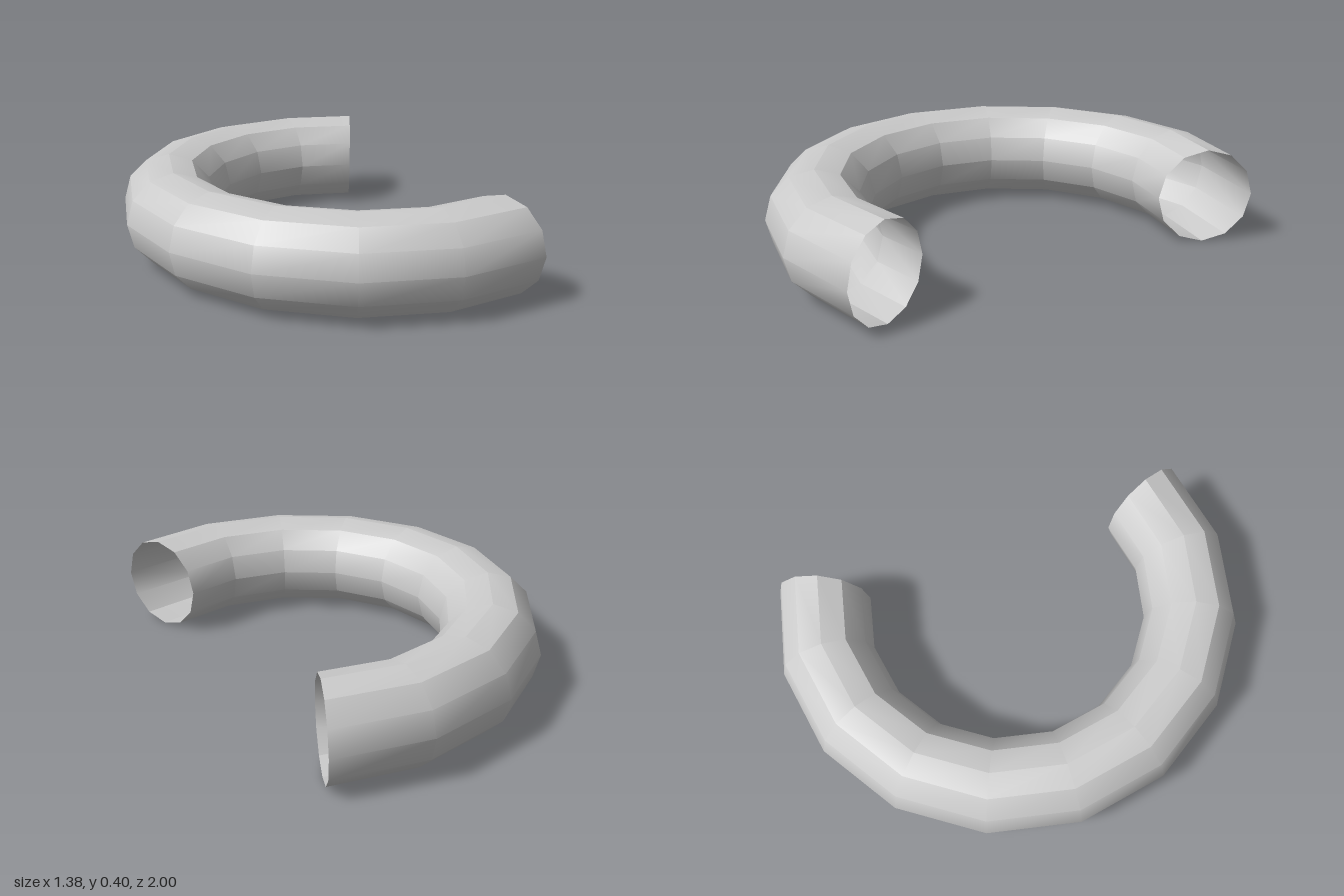
import * as THREE from 'three';
import { toCreasedNormals } from 'three/addons/utils/BufferGeometryUtils.js';

export function createModel() {
  const group = new THREE.Group();
  const ringRadius = 0.8, tubeRadius = 0.2;
  const step = Math.PI / 8, start = 3 * step, segments = 10;

  // Open, hollow C-shaped tube: ten sixteenths of a ring, 12-sided section
  const torus = new THREE.TorusGeometry(ringRadius, tubeRadius, 12, segments, segments * step);
  torus.rotateZ(start).rotateX(Math.PI / 2);

  // Lay on the ground and centre between the back of the bend and the open ends
  const outer = ringRadius + tubeRadius;
  torus.translate((outer - outer * Math.cos(start)) / 2, tubeRadius, 0);

  const material = new THREE.MeshStandardMaterial({ color: 0xcccccc, side: THREE.DoubleSide });
  const tube = new THREE.Mesh(toCreasedNormals(torus, Math.PI / 6), material);
  tube.name = 'curvedTube';
  group.add(tube);
  return group;
}
